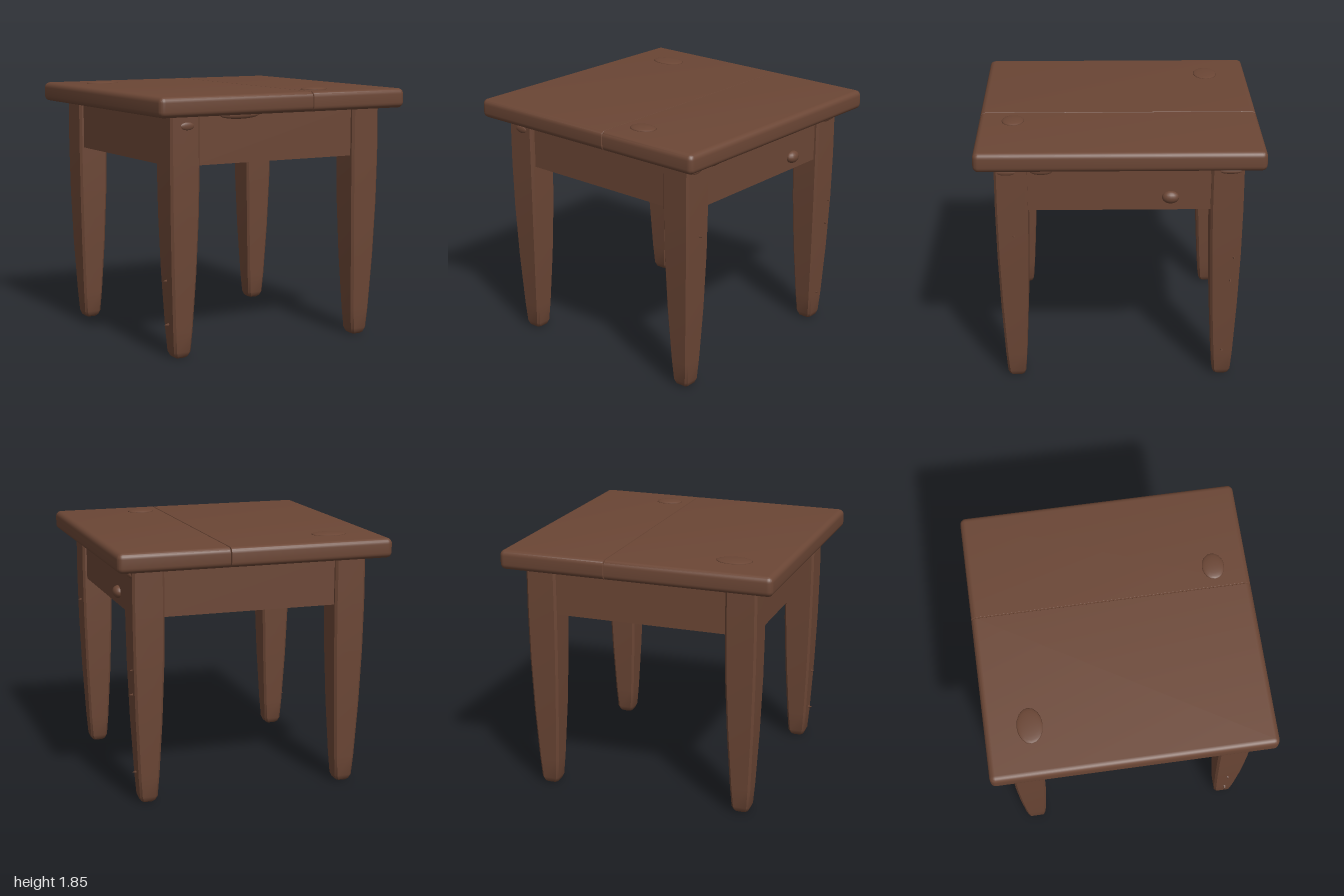
import * as THREE from 'three';
import { toCreasedNormals } from 'three/addons/utils/BufferGeometryUtils.js';
import { RoundedBoxGeometry } from 'three/addons/geometries/RoundedBoxGeometry.js';

const TOP = 1.83, UNDER = 1.69, SEAM = 0.2, ROUND = 0.04;

// Square section with small chamfers, lofted through [height, half width] rows
function legGeometry(rows) {
  const pos = [], index = [], n = 8;
  for (const [y, h] of rows) {
    const c = h - Math.min(0.016, h * 0.3);
    const ring = [[h, c], [c, h], [-c, h], [-h, c], [-h, -c], [-c, -h], [c, -h], [h, -c]];
    for (const [x, z] of ring) pos.push(x, y, z);
  }
  for (let r = 0; r < rows.length - 1; r++) {
    for (let i = 0; i < n; i++) {
      const a = r * n + i, b = r * n + (i + 1) % n;
      index.push(a, a + n, b, b, a + n, b + n);
    }
  }
  const last = (rows.length - 1) * n;
  for (let i = 1; i < n - 1; i++) {
    index.push(0, i, i + 1);
    index.push(last, last + i + 1, last + i);
  }
  const g = new THREE.BufferGeometry();
  g.setAttribute('position', new THREE.Float32BufferAttribute(pos, 3));
  g.setIndex(index);
  g.computeVertexNormals();
  return toCreasedNormals(g, 0.6);
}

// Rounded board whose edge at the seam is squeezed into a narrow groove
function plankGeometry(x0, x1) {
  const g = new RoundedBoxGeometry(x1 - x0, TOP - UNDER, 1.99, 4, ROUND);
  g.translate((x0 + x1) / 2, (TOP + UNDER) / 2, 0);
  const p = g.attributes.position;
  for (let i = 0; i < p.count; i++) {
    const d = p.getX(i) - SEAM;
    if (Math.abs(d) <= ROUND + 0.001) p.setX(i, SEAM + d * 0.13);
  }
  return toCreasedNormals(g, 0.6);
}

export function createModel() {
  const model = new THREE.Group();
  const wood = new THREE.MeshStandardMaterial({ color: 0x6b4635 });
  wood.name = 'brown wood';

  const add = (name, geometry, x = 0, y = 0, z = 0) => {
    const m = new THREE.Mesh(geometry, wood);
    m.name = name;
    m.position.set(x, y, z);
    model.add(m);
    return m;
  };

  // Seat boards
  add('wideSeatBoard', plankGeometry(-1, SEAM));
  add('narrowSeatBoard', plankGeometry(SEAM, 0.99));

  // Tapered legs with rounded feet
  const leg = legGeometry([
    [0, 0.035], [0.012, 0.052], [0.045, 0.065], [0.2, 0.076],
    [0.6, 0.096], [1.0, 0.109], [1.35, 0.114], [1.7, 0.113],
  ]);
  for (const [sx, side] of [[1, 'Left'], [-1, 'Right']]) {
    add('front' + side + 'Leg', leg, sx * 0.742, 0, 0.75);
    add('back' + side + 'Leg', leg, sx * 0.742, 0, -0.742);
  }

  // Apron rails between the legs
  const railY = (1.345 + 1.7) / 2, railH = 1.7 - 1.345;
  const alongX = new THREE.BoxGeometry(1.34, railH, 0.09);
  const alongZ = new THREE.BoxGeometry(0.09, railH, 1.34);
  add('frontRail', alongX, 0, railY, 0.785);
  add('backRail', alongX, 0, railY, -0.78);
  add('leftRail', alongZ, 0.78, railY, 0);
  add('rightRail', alongZ, -0.78, railY, 0);

  // Shallow raised knots in the wood
  const ball = new THREE.SphereGeometry(1, 16, 10);
  const knot = (name, x, y, z, sx, sy, sz) => add(name, ball, x, y, z).scale.set(sx, sy, sz);
  knot('backSeatKnot', -0.64, TOP, -0.68, 0.13, 0.014, 0.09);
  knot('frontSeatKnot', 0.36, TOP, 0.75, 0.1, 0.018, 0.08);
  knot('railKnot', 0.83, 1.44, -0.35, 0.04, 0.045, 0.06);
  knot('legKnot', -0.73, 1.62, 0.86, 0.055, 0.028, 0.012);
  knot('sideLegKnot', 0.85, 1.64, 0.78, 0.012, 0.024, 0.07);
  knot('sideRailKnot', 0.825, 1.64, 0.54, 0.014, 0.03, 0.08);
  knot('backLegKnot', 0.85, 1.64, -0.76, 0.015, 0.02, 0.08);
  knot('frontRailKnot', -0.3, 1.68, 0.83, 0.16, 0.03, 0.02);

  // Splinters along the legs
  const splinter = new THREE.ConeGeometry(0.012, 0.035, 4);
  for (const [x, y, z, dir] of [
    [0.83, 0.22, -0.74, 1], [0.855, 0.8, -0.78, 1], [0.86, 1.16, 0.74, 1],
    [-0.84, 0.24, 0.75, -1], [-0.845, 0.55, 0.75, -1], [0.855, 0.98, -0.8, 1],
  ]) add('splinter', splinter, x, y, z).rotation.z = -dir * Math.PI / 2;

  return model;
}
